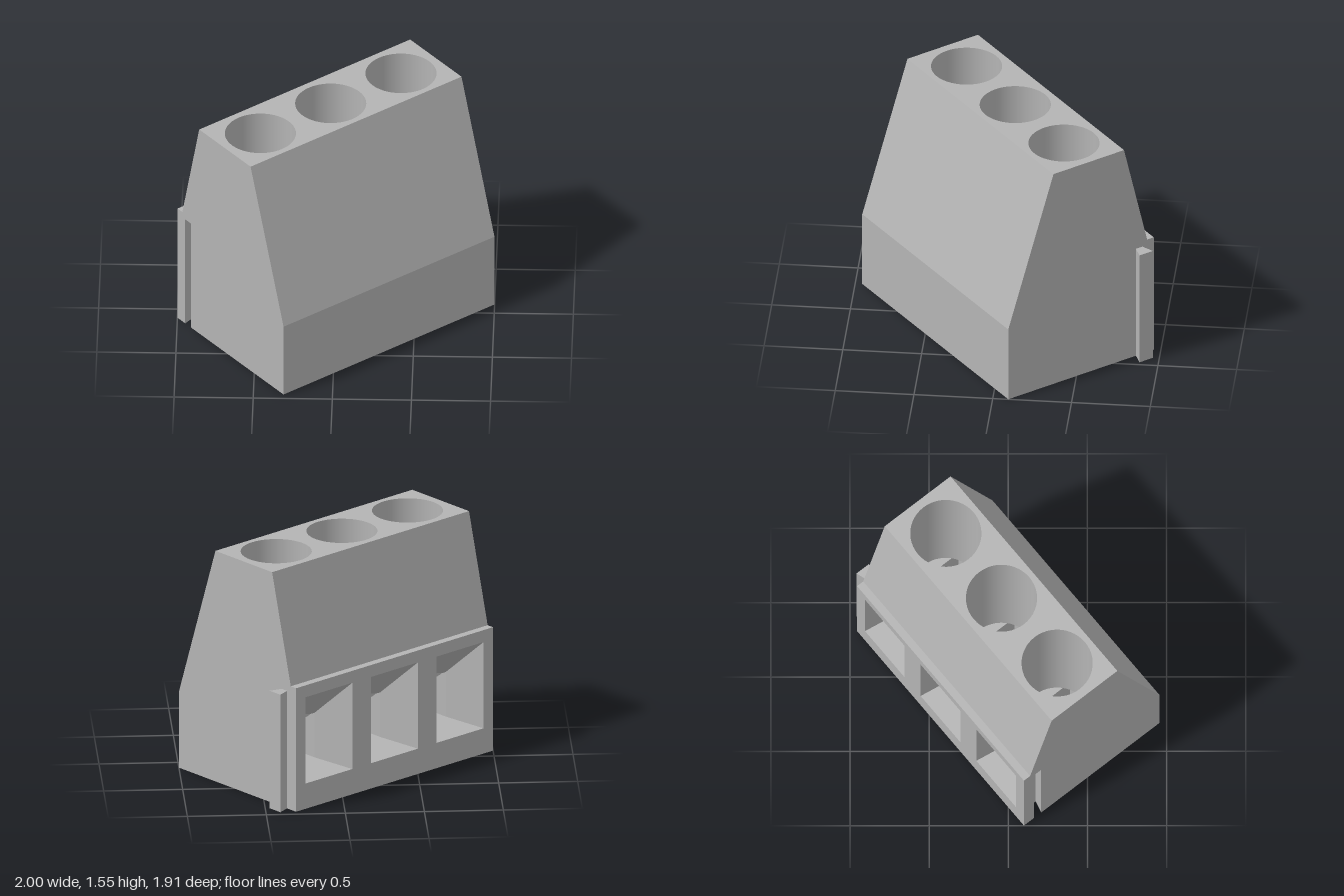
import * as THREE from 'three';

const W = 0.84, D = 0.55, TOP = 1.55, LEDGE = 0.83;
const PITCH = 0.56, WELL_R = 0.225, WELL_Z = -0.055, WELL_Y = 0.48;
const FLOOR = 0.18, IN_W = 0.15, IN_BACK = -0.25, IN_FRONT = 0.17, KEY_Y = 0.79;
const centres = [-PITCH, 0, PITCH];

const plastic = new THREE.MeshStandardMaterial({ color: 0xb4b4b4, side: THREE.DoubleSide });
plastic.name = 'grey plastic';

function add(group, name, geometry) {
  const mesh = new THREE.Mesh(geometry, plastic);
  mesh.name = name;
  group.add(mesh);
  return mesh;
}
const poly = pts => new THREE.Shape(pts.map(p => new THREE.Vector2(p[0], p[1])));
const rect = (x0, y0, x1, y1) => poly([[x0, y0], [x1, y0], [x1, y1], [x0, y1]]);

// flat strip of quads between two matching outlines
function loft(a, b, closed = true) {
  const pos = [];
  const n = closed ? a.length : a.length - 1;
  for (let i = 0; i < n; i++) {
    const j = (i + 1) % a.length;
    pos.push(...a[i], ...a[j], ...b[j], ...a[i], ...b[j], ...b[i]);
  }
  const g = new THREE.BufferGeometry();
  g.setAttribute('position', new THREE.Float32BufferAttribute(pos, 3));
  g.computeVertexNormals();
  return g;
}

// horizontal face, shape drawn in (x, -z), facing up
function upFace(shape, x, y, z) {
  return new THREE.ShapeGeometry(shape, 24).rotateX(-Math.PI / 2).translate(x, y, z);
}

export function createModel() {
  const model = new THREE.Group();
  model.name = 'terminalBlock';
  const block = new THREE.Group();
  block.name = 'block';
  block.rotation.y = 0.678;
  model.add(block);

  // side outline as (z, y)
  const profile = [[D, 0], [D, 0.515], [0.208, TOP], [-0.325, TOP], [-0.5, LEDGE], [-D, LEDGE], [-D, 0]];
  const strip = (i, name) => {
    const [p, q] = [profile[i], profile[i + 1]];
    add(block, name, loft([[-W, p[1], p[0]], [W, p[1], p[0]]], [[-W, q[1], q[0]], [W, q[1], q[0]]], false));
  };
  strip(0, 'frontFace');
  strip(1, 'frontSlope');
  strip(3, 'backSlope');
  strip(4, 'backLedge');

  // end walls, the right one notched for the groove
  add(block, 'leftWall', new THREE.ShapeGeometry(poly(profile.map(p => [-p[0], p[1]])))
    .rotateY(Math.PI / 2).translate(W, 0, 0));
  const notch = [[-0.47, 0], [-0.47, KEY_Y], [-0.41, KEY_Y], [-0.41, 0]];
  add(block, 'rightWall', new THREE.ShapeGeometry(poly([...profile, ...notch]))
    .rotateY(-Math.PI / 2).translate(-W, 0, 0));

  // dovetail key and groove, outlines as (x, z)
  const dovetail = x => [[x, -0.465], [x + 0.08, -0.49], [x + 0.08, -0.39], [x, -0.415]];
  const key = new THREE.ExtrudeGeometry(poly(dovetail(W).map(p => [p[0], -p[1]])), { depth: KEY_Y, bevelEnabled: false });
  add(block, 'dovetailKey', key.rotateX(-Math.PI / 2));
  const slot = [[-W, -0.47], [-W + 0.08, -0.49], [-W + 0.08, -0.39], [-W, -0.41]];
  add(block, 'dovetailGroove', loft(slot.map(p => [p[0], KEY_Y, p[1]]), slot.map(p => [p[0], 0, p[1]]), false));
  add(block, 'grooveCap', upFace(poly(slot.map(p => [p[0], -p[1]])), 0, KEY_Y, 0).scale(1, 1, 1));

  // pierced top, back and bottom faces
  const top = rect(-W, -0.208, W, 0.325);
  const back = rect(-W, 0, W, LEDGE);
  const bottom = poly([[-W, -D], [W, -D], [W, D], [-W, D], ...slot.slice().reverse()]);
  for (const x of centres) {
    const circle = new THREE.Path();
    circle.absarc(x, -WELL_Z, WELL_R, 0, Math.PI * 2, true);
    top.holes.push(circle);
    back.holes.push(rect(x - 0.2, 0.17, x + 0.2, 0.75));
    bottom.holes.push(rect(x - 0.047, -0.092, x + 0.047, 0.014));
  }
  add(block, 'topFace', upFace(top, 0, TOP, 0).clone());
  add(block, 'backFace', new THREE.ShapeGeometry(back).rotateY(Math.PI).translate(0, 0, -D));
  add(block, 'bottomFace', new THREE.ShapeGeometry(bottom).rotateX(Math.PI / 2));

  // one screw well, wire funnel and clamp chamber per pole
  for (const x of centres) {
    const pole = new THREE.Group();
    pole.name = 'pole';
    pole.position.x = x;
    block.add(pole);

    add(pole, 'screwWell', new THREE.CylinderGeometry(WELL_R, WELL_R, TOP - WELL_Y, 48, 1, true)
      .translate(0, (TOP + WELL_Y) / 2, WELL_Z));

    // ledges left around the chamber at the foot of the well
    const side = Math.acos(IN_W / WELL_R);
    const rear = Math.acos((WELL_Z - IN_BACK) / WELL_R);
    for (const [mid, half] of [[0, side], [Math.PI, side], [Math.PI / 2, rear]]) {
      const seg = new THREE.Shape();
      seg.absarc(0, 0, WELL_R, mid - half, mid + half, false);
      add(pole, 'wellLedge', upFace(seg, 0, WELL_Y, WELL_Z));
    }

    // chamber ceiling beyond the round well
    const ceiling = new THREE.Shape();
    ceiling.moveTo(-IN_W, -IN_FRONT);
    ceiling.lineTo(IN_W, -IN_FRONT);
    ceiling.absarc(0, -WELL_Z, WELL_R, -side, -Math.PI + side, true);
    add(pole, 'chamberCeiling', upFace(ceiling, 0, WELL_Y, 0));

    // tapered wire entry
    const ring = (w, y0, y1, z) => [[-w, y0, z], [w, y0, z], [w, y1, z], [-w, y1, z]];
    add(pole, 'wireFunnel', loft(ring(0.2, 0.17, 0.75, -D), ring(IN_W, FLOOR, WELL_Y, IN_BACK)));

    // chamber walls, floor and solder hole
    const wall = y => [[-IN_W, y, IN_BACK], [-IN_W, y, IN_FRONT], [IN_W, y, IN_FRONT], [IN_W, y, IN_BACK]];
    add(pole, 'chamberWalls', loft(wall(FLOOR), wall(WELL_Y), false));
    const floor = rect(-IN_W, -IN_FRONT, IN_W, -IN_BACK);
    floor.holes.push(rect(-0.047, -0.014, 0.047, 0.092));
    add(pole, 'chamberFloor', upFace(floor, 0, FLOOR, 0));
    const hole = y => [[-0.047, y, -0.092], [0.047, y, -0.092], [0.047, y, 0.014], [-0.047, y, 0.014]];
    add(pole, 'pinHole', loft(hole(FLOOR), hole(0)));
  }
  return model;
}
